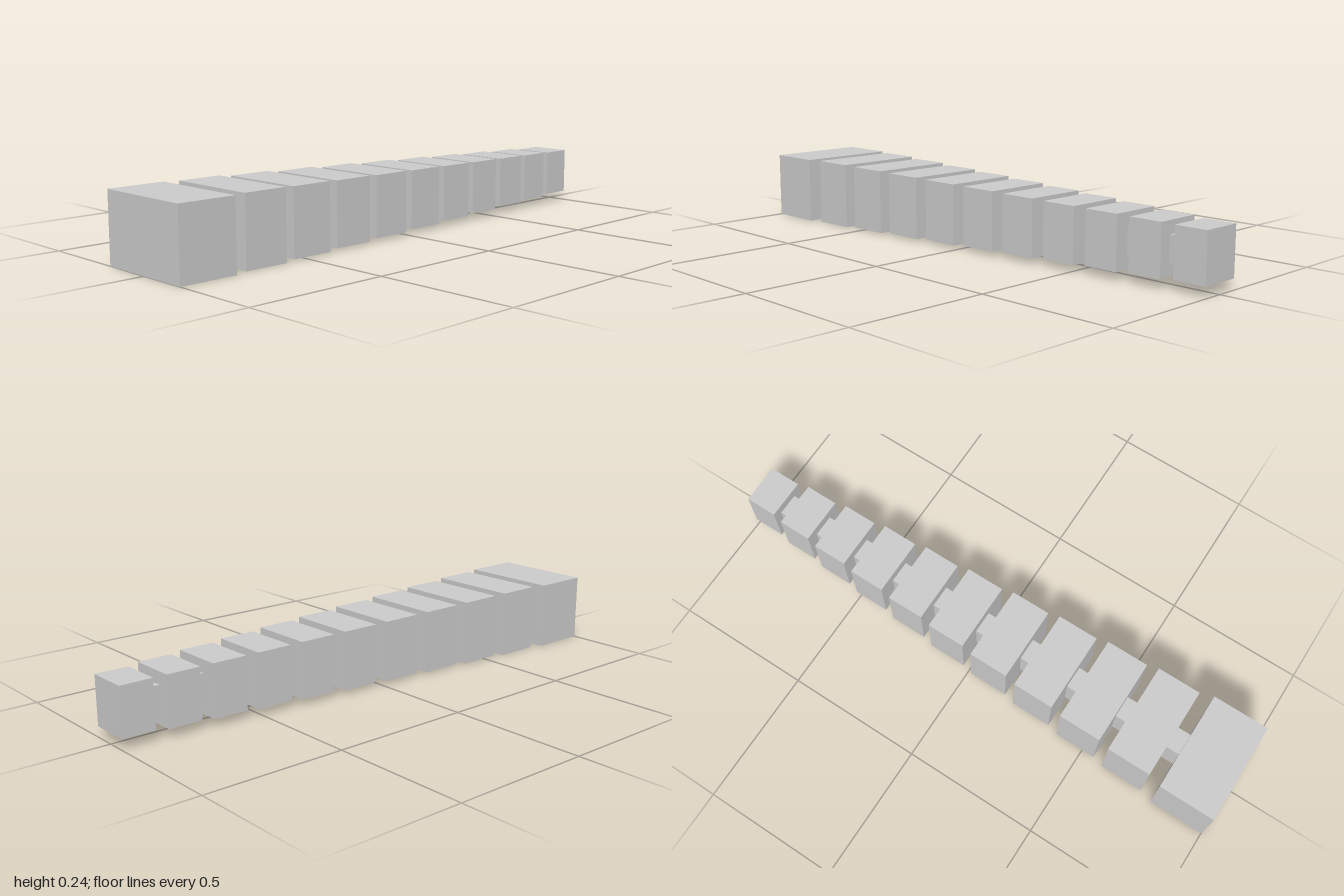
import * as THREE from 'three';

export function createModel() {
  const model = new THREE.Group();
  const material = new THREE.MeshStandardMaterial({ color: 0xcccccc, flatShading: true });
  const midY = 0.1215;

  // Box spanning x0..x1, centred on the body axis
  function addBlock(name, x0, x1, height, depth) {
    const mesh = new THREE.Mesh(new THREE.BoxGeometry(x1 - x0, height, depth), material);
    mesh.name = name;
    mesh.position.set((x0 + x1) / 2, midY, 0);
    model.add(mesh);
  }

  // Wide end block
  addBlock('endBlock', -1, -0.795, 0.243, 0.37);

  // Tapering row of segments, each joined to the previous block by a narrow link
  const count = 10;
  const gap = 0.0402;
  let previousEnd = -0.795;
  let start = -0.747;
  for (let i = 0; i < count; i++) {
    const t = i / (count - 1);
    const end = start + THREE.MathUtils.lerp(0.16, 0.117, t);
    addBlock(`segment${i + 1}`, start, end, THREE.MathUtils.lerp(0.242, 0.17, t), THREE.MathUtils.lerp(0.338, 0.148, t));
    addBlock(`link${i + 1}`, previousEnd - 0.005, start + 0.005, THREE.MathUtils.lerp(0.136, 0.09, t), 0.081);
    previousEnd = end;
    start = end + gap;
  }
  return model;
}
